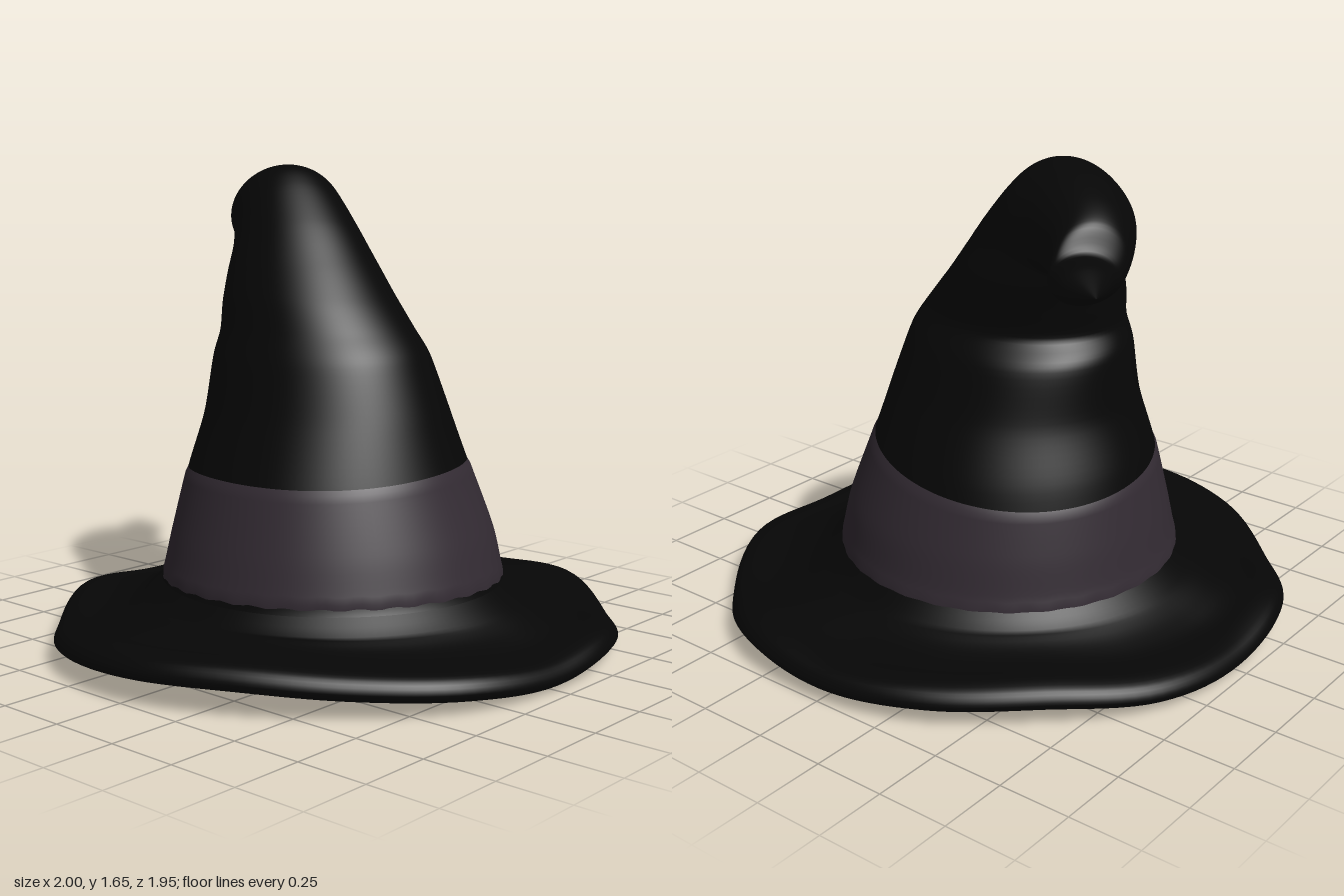
import * as THREE from 'three';

const SEG = 128;
const V = (x, y, z) => new THREE.Vector3(x, y, z);
const spline = (pts) => new THREE.CatmullRomCurve3(pts.map((p) => V(...p)), false, 'centripetal');

// Smooth surface of closed rings; fn(u, angle) gives a point, u from 0 to 1
function ringSurface(rows, fn) {
  const pos = [], index = [];
  for (let i = 0; i <= rows; i++) {
    for (let j = 0; j < SEG; j++) {
      const p = fn(i / rows, (j / SEG) * Math.PI * 2);
      pos.push(p.x, p.y, p.z);
      if (i === rows) continue;
      const k = (j + 1) % SEG, a = i * SEG + j, b = i * SEG + k;
      index.push(a, a + SEG, b, b, a + SEG, b + SEG);
    }
  }
  const g = new THREE.BufferGeometry();
  g.setAttribute('position', new THREE.Float32BufferAttribute(pos, 3));
  g.setIndex(index);
  g.computeVertexNormals();
  return g;
}

// Crown rings in the plane of the bend:
// outer reach, outer y, inner reach, inner y, sideways shift, half width
const RINGS = [
  [-0.63, 0.18, 0.63, 0.18, 0, 0.63],
  [-0.595, 0.25, 0.60, 0.25, 0, 0.595],
  [-0.555, 0.40, 0.575, 0.40, 0, 0.56],
  [-0.49, 0.61, 0.53, 0.61, -0.01, 0.495],
  [-0.425, 0.80, 0.465, 0.80, -0.015, 0.43],
  [-0.35, 1.00, 0.43, 0.99, -0.035, 0.375],
  [-0.285, 1.10, 0.37, 1.075, -0.05, 0.335],
  [-0.215, 1.20, 0.40, 1.17, -0.065, 0.305],
  [-0.12, 1.32, 0.44, 1.26, -0.075, 0.268],
  [0.0, 1.46, 0.455, 1.29, -0.085, 0.232],
  [0.14, 1.59, 0.47, 1.31, -0.10, 0.205],
  [0.25, 1.65, 0.49, 1.31, -0.11, 0.195],
  [0.42, 1.64, 0.54, 1.305, -0.12, 0.175],
  [0.59, 1.595, 0.61, 1.295, -0.11, 0.145],
  [0.69, 1.545, 0.69, 1.295, -0.085, 0.125],
  [0.735, 1.465, 0.75, 1.31, -0.05, 0.108],
  [0.83, 1.452, 0.85, 1.345, -0.03, 0.075],
  [0.965, 1.40, 0.965, 1.398, -0.025, 0.002],
];
const outerSide = new THREE.CatmullRomCurve3(RINGS.map((r) => V(r[0], r[1], r[4])), false, 'catmullrom', 0.4);
const innerSide = new THREE.CatmullRomCurve3(RINGS.map((r) => V(r[2], r[3], r[5])), false, 'catmullrom', 0.4);
const BX = 0.62, BZ = -0.78; // heading of the bend, towards the back left

function crownPoint(u, angle, swell = 0) {
  const o = outerSide.getPoint(u), n = innerSide.getPoint(u);
  const phi = angle - Math.atan2(BZ, BX);
  // narrower from side to side halfway up, with soft cloth wrinkles
  const squeeze = 0.075 * Math.exp(-(((u - 0.34) / 0.1) ** 2)) * Math.cos(2 * angle);
  const wrinkle = 0.006 * Math.sin(Math.PI * u) * Math.sin(3 * phi + 26 * u);
  const scale = 1 - squeeze + wrinkle + swell;
  const c = Math.cos(phi) * scale;
  const t = (o.x + n.x) / 2 + c * (n.x - o.x) / 2;
  const y = (o.y + n.y) / 2 + c * (n.y - o.y) / 2;
  const s = o.z + Math.sin(phi) * scale * n.z;
  return V(BX * t - BZ * s, y, BZ * t + BX * s);
}

// Crown point at a given height, for the wrapped band
function crownAtHeight(y, angle, swell) {
  let lo = 0, hi = 0.35;
  for (let i = 0; i < 22; i++) {
    const mid = (lo + hi) / 2;
    if (crownPoint(mid, angle).y < y) lo = mid; else hi = mid;
  }
  return crownPoint(lo, angle, swell);
}

// Wavy rim: values every 22.5 degrees, from +x towards +z
const around = (values) => {
  const curve = new THREE.CatmullRomCurve3(values.map((v, i) => V(i, v, 0)), true, 'catmullrom', 0.5);
  return (a) => curve.getPoint(a / (Math.PI * 2)).y;
};
const rimHeight = around([0.03, 0.05, 0.0, 0.035, 0.012, 0.04, 0.06, 0.08, 0.072, 0.045, 0.01, 0.04, 0.008, 0.03, 0.058, 0.05]);
const rimRadius = around([1.0, 1.02, 0.995, 1.0, 0.97, 0.975, 0.945, 0.96, 1.0, 1.0, 0.97, 0.995, 0.98, 0.995, 0.965, 0.985]);

// Brim section: radius, height, share of the wave
const brimProfile = spline([
  [0.565, 0.25, 0], [0.61, 0.17, 0.1], [0.69, 0.115, 0.3], [0.8, 0.07, 0.8], [0.92, 0.045, 1], [0.975, 0.042, 1],
  [1.0, 0.07, 1], [0.98, 0.108, 1], [0.93, 0.125, 1], [0.85, 0.125, 0.9], [0.76, 0.14, 0.6],
  [0.69, 0.165, 0.3], [0.64, 0.195, 0], [0.59, 0.24, 0],
]);
const liningProfile = spline([
  [0, 0.88, 0], [0.16, 0.85, 0], [0.32, 0.74, 0], [0.43, 0.57, 0], [0.52, 0.38, 0], [0.565, 0.25, 0],
]);
function profilePoint(curve, u, a) {
  const p = curve.getPoint(u);
  const r = p.x * (1 + p.z * (rimRadius(a) - 1));
  return V(r * Math.cos(a), p.y + p.z * (rimHeight(a) - 0.04), r * Math.sin(a));
}

export function createModel() {
  const cloth = new THREE.MeshStandardMaterial({ color: 0x060606 });
  cloth.name = 'black cloth';
  const ribbon = new THREE.MeshStandardMaterial({ color: 0x332b33 });
  ribbon.name = 'dusky purple ribbon';

  const hat = new THREE.Group();
  hat.name = 'pointedHat';
  const add = (name, geometry, material) => {
    const mesh = new THREE.Mesh(geometry, material);
    mesh.name = name;
    hat.add(mesh);
  };

  add('crown', ringSurface(120, (u, a) => crownPoint(u, a)), cloth);
  add('brim', ringSurface(52, (u, a) => profilePoint(brimProfile, u, a)), cloth);
  add('lining', ringSurface(20, (u, a) => profilePoint(liningProfile, u, a)), cloth);

  // Band, highest at the front, with a slightly frayed lower edge and tucked borders
  add('band', ringSurface(16, (u, a) => {
    const top = 0.61 + 0.035 * Math.sin(a) - 0.015 * Math.cos(a) + 0.02 * Math.sin(2 * a);
    const bottom = 0.228 + 0.012 * Math.sin(a) - 0.012 * Math.cos(a) + 0.003 * Math.sin(31 * a);
    const tucked = u === 0 || u === 1;
    return crownAtHeight(bottom + (top - bottom) * u, a, tucked ? -0.004 : 0.01);
  }), ribbon);

  return hat;
}
